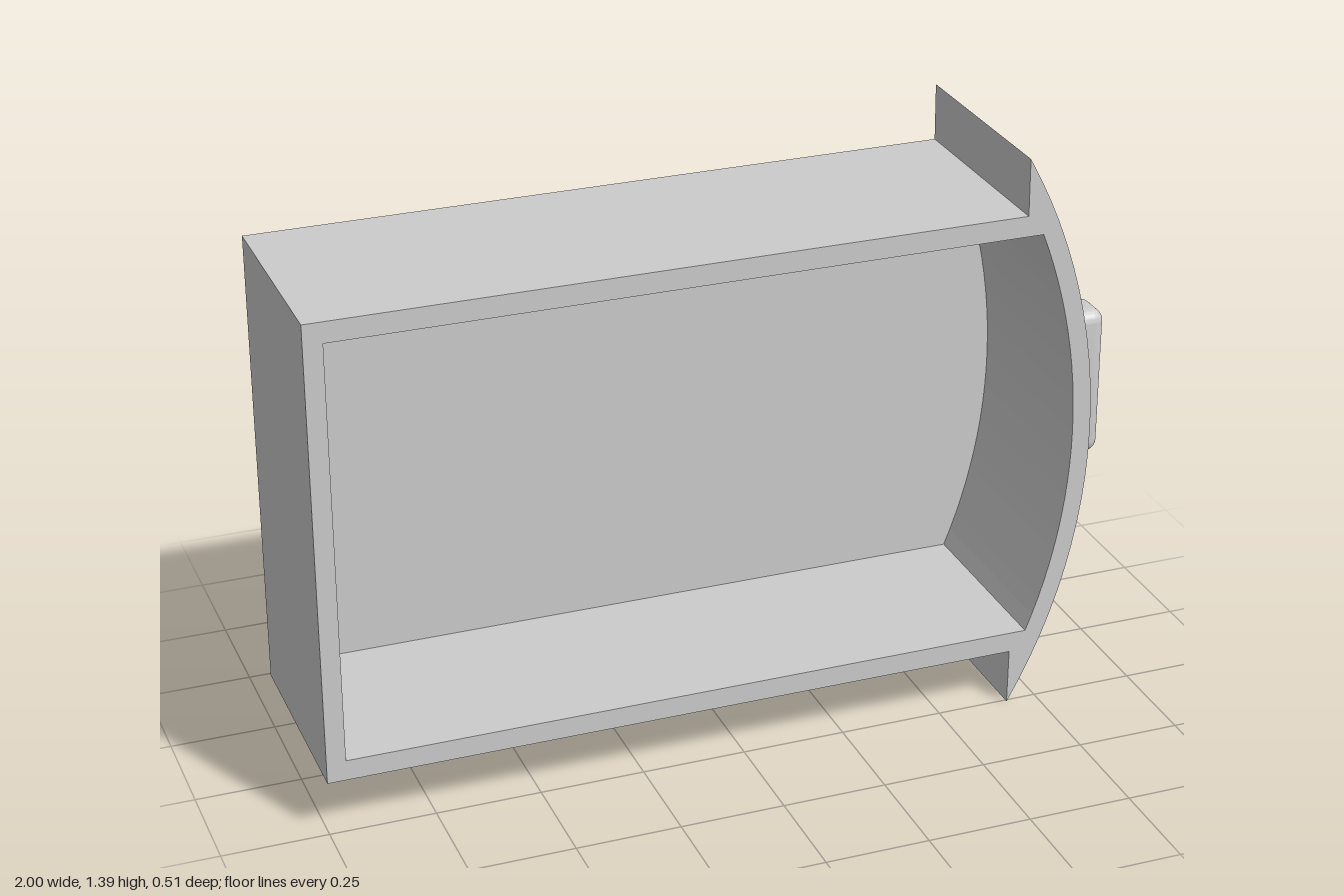
import * as THREE from 'three';
import { RoundedBoxGeometry } from 'three/addons/geometries/RoundedBoxGeometry.js';
import { toCreasedNormals } from 'three/addons/utils/BufferGeometryUtils.js';

const MID = 0.6975;      // height of the centre line
const HALF_DEPTH = 0.257;
const WALL = 0.045;
const ARC_X = -0.556;    // centre of the bowed front
const RADIUS = 1.414;

const material = new THREE.MeshStandardMaterial({ color: 0xcccccc });

function addPart(group, name, geometry) {
  const mesh = new THREE.Mesh(geometry, material);
  mesh.name = name;
  group.add(mesh);
}

// Traces the bowed side from -halfHeight to +halfHeight
function bow(shape, radius, halfHeight) {
  const a = Math.asin(halfHeight / radius);
  shape.absarc(ARC_X, MID, radius, -a, a, false);
}

// Box outline whose bowed front overhangs above and below
function outline() {
  const s = new THREE.Shape();
  s.moveTo(-1, MID - 0.56);
  s.lineTo(0.675, MID - 0.56);
  bow(s, RADIUS, MID);
  s.lineTo(0.675, MID + 0.56);
  s.lineTo(-1, MID + 0.56);
  s.closePath();
  return s;
}

function cavity() {
  const p = new THREE.Path();
  p.moveTo(-0.955, MID + 0.51);
  p.lineTo(-0.955, MID - 0.51);
  bow(p, RADIUS - WALL, 0.51);
  p.closePath();
  return p;
}

// Extruded with flat facets along the bow
function slab(shape, z0, z1) {
  return new THREE.ExtrudeGeometry(shape, { depth: z1 - z0, bevelEnabled: false, curveSegments: 12 })
    .translate(0, 0, z0);
}

export function createModel() {
  const group = new THREE.Group();
  group.name = 'drawer';

  // Open tray: walls around the cavity and a closed back panel
  const walls = outline();
  walls.holes.push(cavity());
  addPart(group, 'drawerWalls', slab(walls, -HALF_DEPTH + WALL, HALF_DEPTH));
  addPart(group, 'drawerBase', slab(outline(), -HALF_DEPTH, -HALF_DEPTH + WALL));

  // Handle: neck and a grip rounded on the outside, flat on the inside
  const handle = new THREE.Group();
  handle.name = 'handle';
  handle.position.set(0, 0.699, -0.013);
  group.add(handle);

  addPart(handle, 'handleNeck', new THREE.BoxGeometry(0.045, 0.195, 0.112).translate(0.8715, 0, 0));

  const grip = new RoundedBoxGeometry(0.136, 0.374, 0.112, 5, 0.03).translate(0.932, 0, 0);
  const pos = grip.attributes.position;
  for (let i = 0; i < pos.count; i++) pos.setX(i, Math.max(pos.getX(i), 0.894));
  addPart(handle, 'handleGrip', toCreasedNormals(grip, 0.6));

  return group;
}
